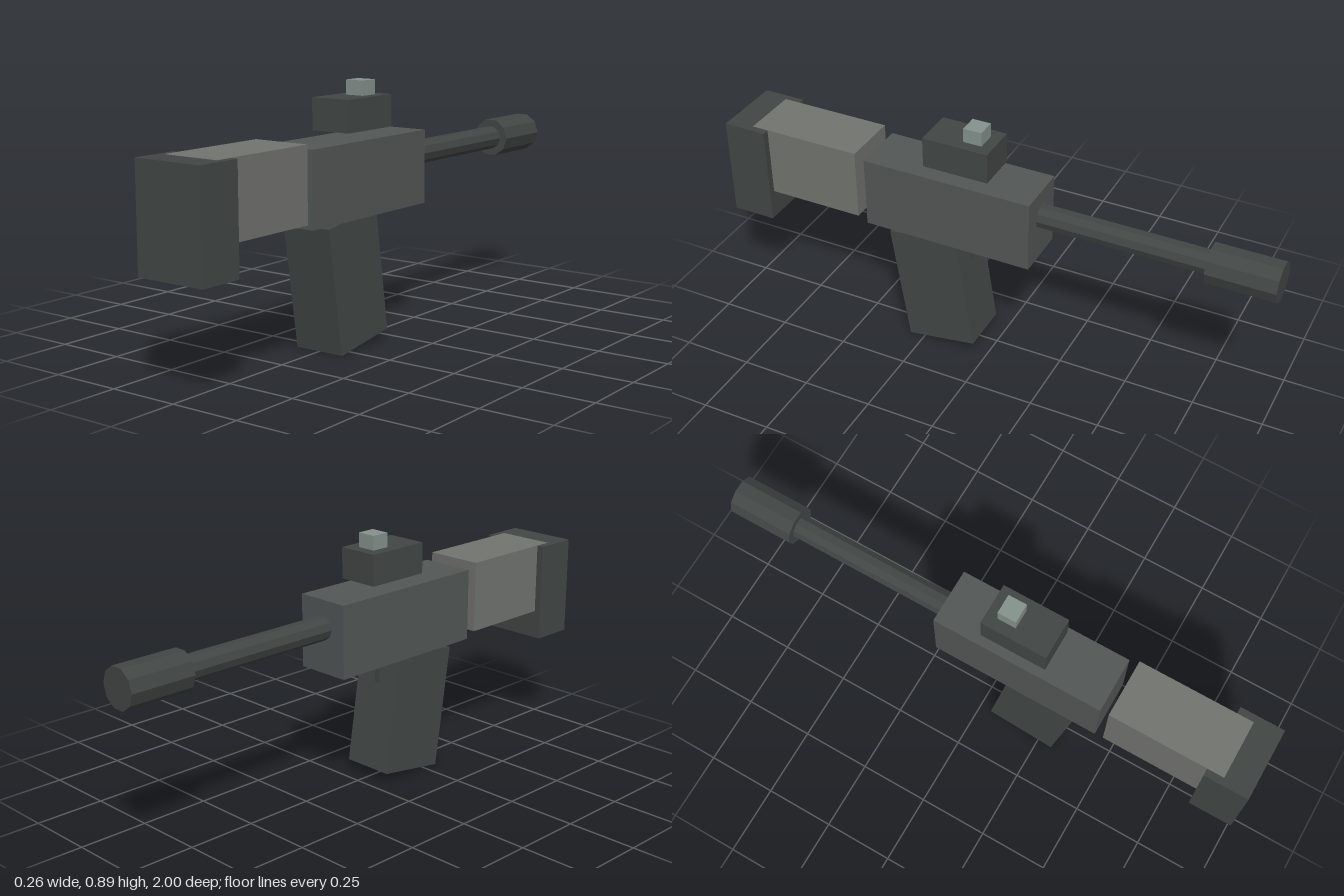
import * as THREE from 'three';

const paint = (color) => new THREE.MeshStandardMaterial({ color, flatShading: true });

export function createModel() {
  const model = new THREE.Group();
  const dark = paint(0x424745);
  const mid = paint(0x535756);
  const light = paint(0x727470);
  const pale = paint(0x85938d);

  const add = (name, geometry, material, y, z) => {
    const mesh = new THREE.Mesh(geometry, material);
    mesh.name = name;
    mesh.position.set(0, y, z);
    model.add(mesh);
    return mesh;
  };

  // Box given by its width and its y and z limits
  const block = (name, material, width, y0, y1, z0, z1) =>
    add(name, new THREE.BoxGeometry(width, y1 - y0, z1 - z0), material, (y0 + y1) / 2, (z0 + z1) / 2);

  // Ten-sided rod lying along z, with corners at its left and right
  const rod = (name, radius, z0, z1) => {
    const geometry = new THREE.CylinderGeometry(radius, radius, z1 - z0, 10, 1, false, Math.PI / 2);
    geometry.rotateX(Math.PI / 2);
    return add(name, geometry, dark, 0.613, (z0 + z1) / 2);
  };

  // Body and stock
  block('receiver', mid, 0.2, 0.453, 0.711, -0.165, 0.458);
  block('stock', light, 0.21, 0.476, 0.732, 0.49, 0.902);
  block('buttPlate', dark, 0.26, 0.372, 0.731, 0.842, 1);

  // Barrel and muzzle
  rod('barrel', 0.043, -0.78, -0.15);
  rod('muzzle', 0.071, -1, -0.762);

  // Sight floating just above the receiver
  block('sightBase', dark, 0.15, 0.737, 0.847, 0, 0.24);
  block('sightTop', pale, 0.07, 0.847, 0.898, 0.04, 0.107);

  // Slanted grip, with the trigger mostly sunk into its front
  const grip = add('grip', new THREE.BoxGeometry(0.19, 0.44, 0.258), dark, 0.243, 0.21);
  grip.rotation.x = 0.15;
  block('trigger', dark, 0.02, 0.345, 0.46, 0.096, 0.13);

  return model;
}
